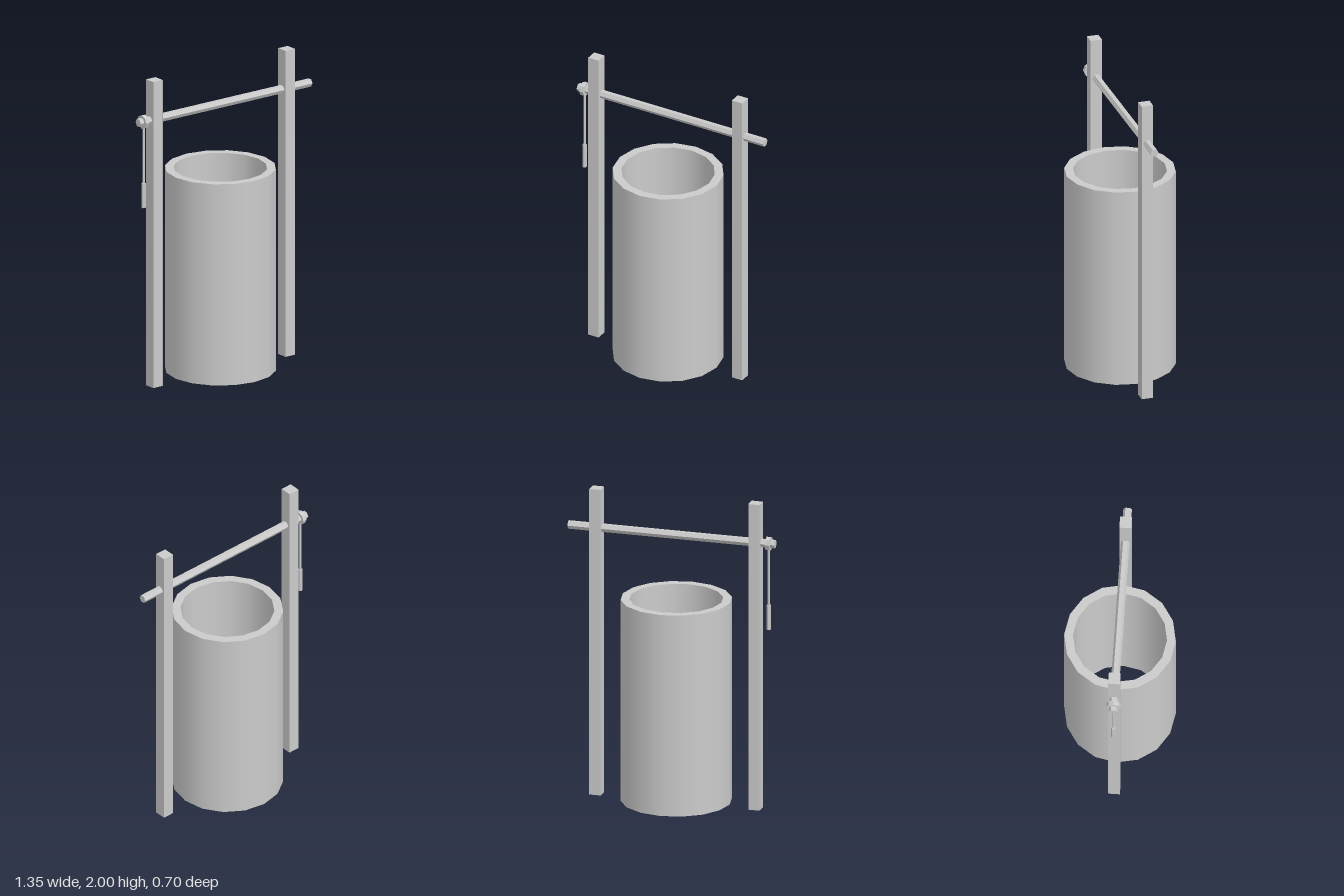
import * as THREE from 'three';

export function createModel() {
  const model = new THREE.Group();
  const smooth = new THREE.MeshStandardMaterial({ color: 0xcccccc, side: THREE.DoubleSide });
  const flat = new THREE.MeshStandardMaterial({ color: 0xcccccc, side: THREE.DoubleSide, flatShading: true });

  function add(name, geometry, material, x, y, z = 0) {
    const mesh = new THREE.Mesh(geometry, material);
    mesh.name = name;
    mesh.position.set(x, y, z);
    model.add(mesh);
    return mesh;
  }

  // Well shaft: two walls joined by a rim on top, open below
  const wellX = -0.03, outer = 0.348, inner = 0.293, bottom = 0.01, top = 1.325, sides = 16;
  const height = top - bottom, middle = (top + bottom) / 2;
  add('outerWall', new THREE.CylinderGeometry(outer, outer, height, sides, 1, true), smooth, wellX, middle);
  const innerWall = new THREE.CylinderGeometry(inner, inner, height, sides, 1, true);
  innerWall.scale(-1, 1, 1); // turns the wall to face inwards
  const normals = innerWall.attributes.normal;
  for (let i = 0; i < normals.count; i++) {
    normals.setXYZ(i, -normals.getX(i), 0, -normals.getZ(i));
  }
  add('innerWall', innerWall, smooth, wellX, middle);
  const rim = new THREE.RingGeometry(inner, outer, sides, 1);
  rim.rotateX(-Math.PI / 2);
  add('rim', rim, flat, wellX, top);

  // Square posts with open bottoms
  const w = 0.074;
  for (const [name, x] of [['rightPost', -0.547], ['leftPost', 0.488]]) {
    const post = new THREE.CylinderGeometry(w / Math.SQRT2, w / Math.SQRT2, 2, 4, 1, true);
    post.rotateY(Math.PI / 4);
    add(name, post, flat, x, 1);
    const cap = new THREE.PlaneGeometry(w, w);
    cap.rotateX(-Math.PI / 2);
    add(name + 'Top', cap, flat, x, 2);
  }

  // Axle across the posts, with the crank hub at its right end
  const axleY = 1.742, crankX = -0.632;
  const axle = new THREE.CylinderGeometry(0.027, 0.027, 1.345, 6);
  axle.rotateZ(Math.PI / 2);
  add('axle', axle, flat, -0.002, axleY);
  const hub = new THREE.CylinderGeometry(0.044, 0.044, 0.028, 8);
  hub.rotateZ(Math.PI / 2);
  add('crankHub', hub, flat, crankX, axleY);

  // Hanging crank arm and its grip
  add('crankArm', new THREE.CylinderGeometry(0.008, 0.008, 0.4, 6), flat, crankX, 1.52);
  add('crankGrip', new THREE.CylinderGeometry(0.014, 0.014, 0.16, 6), flat, crankX, 1.26);

  return model;
}
